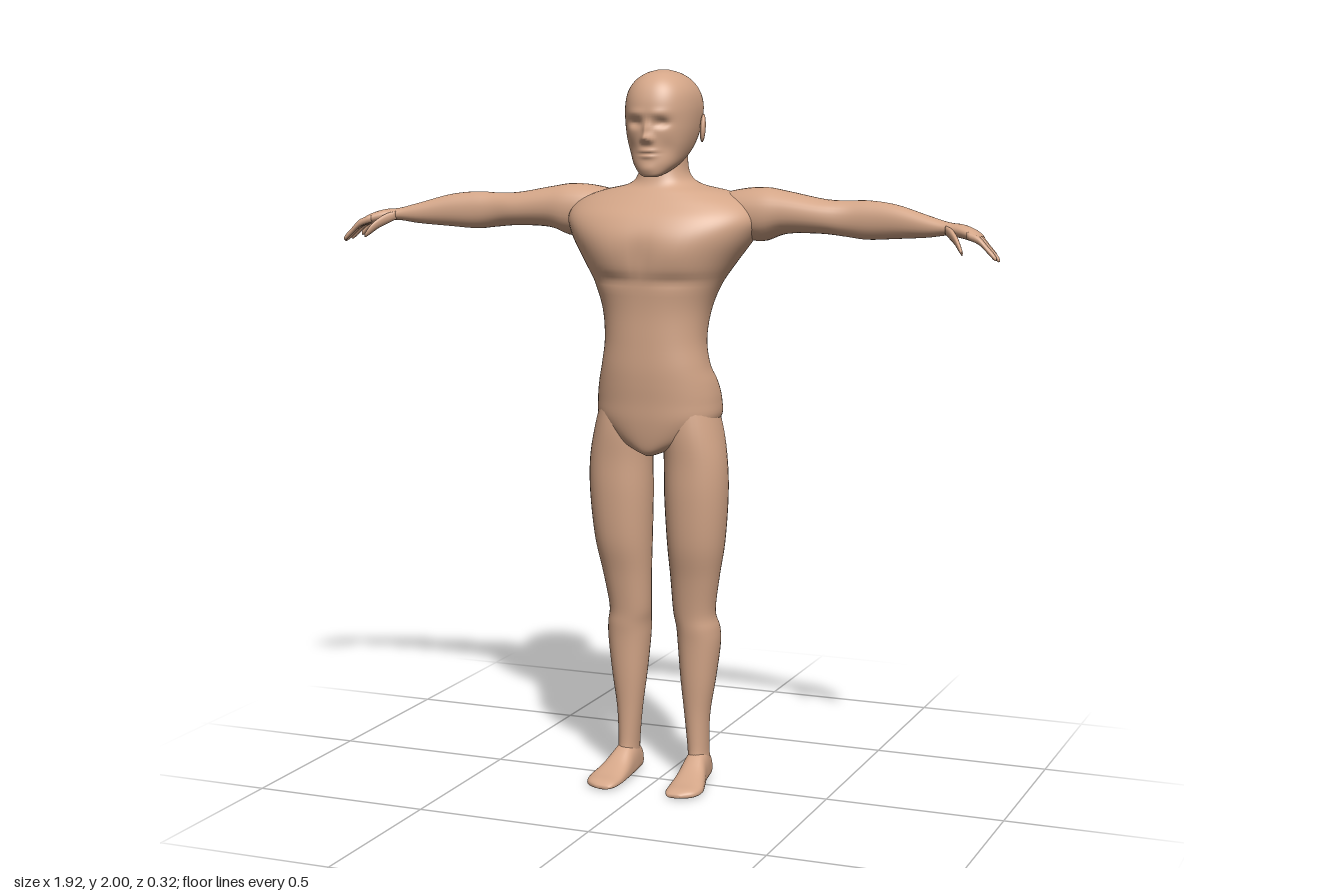
import * as THREE from 'three';

// Axis maps: (s along the loft, u, v) -> xyz
const upY = (s, u, v) => [u, s, v];
const alongX = (s, u, v) => [s, v, u];
const alongZ = (s, u, v) => [-u, v, s];

// Smooth interpolation through one column of the section rows
function spline(rows, k, t) {
  const n = rows.length - 1, i = Math.min(Math.floor(t), n - 1), f = t - i;
  const a = rows[Math.max(i - 1, 0)][k], b = rows[i][k], c = rows[i + 1][k], d = rows[Math.min(i + 2, n)][k];
  return b + 0.5 * f * (c - a + f * (2 * a - 5 * b + 4 * c - d + f * (3 * (b - c) + d - a)));
}

// Closed loft; each row is [s, uMin, uMax, vMin, vMax, vWidest]
function loft(sections, map, { sides = 32, sub = 5, power = 0.92, bumps = [] } = {}) {
  const rows = sections.map((r) => (r.length > 5 ? r : [...r, (r[3] + r[4]) / 2]));
  const rings = (rows.length - 1) * sub + 1, pos = [], index = [];
  const shape = (c) => Math.sign(c) * Math.abs(c) ** power;
  for (let i = 0; i < rings; i++) {
    const [s, u0, u1, v0, v1, vm] = [0, 1, 2, 3, 4, 5].map((k) => spline(rows, k, i / sub));
    for (let j = 0; j < sides; j++) {
      const a = (j / sides) * Math.PI * 2, c = shape(Math.cos(a)), d = shape(Math.sin(a));
      const p = map(s, (u0 + u1) / 2 + ((u1 - u0) / 2) * c, vm + (d > 0 ? v1 - vm : vm - v0) * d);
      // bumps push the front (side 1) or back (side -1) along z
      let dz = 0;
      for (const [x, y, sx, sy, amp, side = 1] of bumps) {
        const w = Math.min(Math.max((p[2] * side) / 0.05, 0), 1);
        dz += side * amp * w * Math.exp(-(((Math.abs(p[0]) - x) / sx) ** 2) - ((p[1] - y) / sy) ** 2);
      }
      pos.push(p[0], p[1], p[2] + dz);
    }
  }
  for (let i = 0; i < rings - 1; i++)
    for (let j = 0; j < sides; j++) {
      const a = i * sides + j, b = i * sides + ((j + 1) % sides), c = a + sides, d = b + sides;
      index.push(a, c, b, b, c, d);
    }
  // end caps
  for (const [r, end] of [[rows[0], 0], [rows[rows.length - 1], rings - 1]]) {
    const centre = pos.length / 3;
    pos.push(...map(r[0], (r[1] + r[2]) / 2, r[5]));
    for (let j = 0; j < sides; j++) {
      const a = end * sides + j, b = end * sides + ((j + 1) % sides);
      if (end) index.push(centre, b, a);
      else index.push(centre, a, b);
    }
  }
  const g = new THREE.BufferGeometry();
  g.setAttribute('position', new THREE.Float32BufferAttribute(pos, 3));
  g.setIndex(index);
  g.computeVertexNormals();
  return g;
}

function mirrored(geometry) {
  const g = geometry.clone().scale(-1, 1, 1), ix = g.index.array;
  for (let i = 0; i < ix.length; i += 3) [ix[i], ix[i + 1]] = [ix[i + 1], ix[i]];
  g.computeVertexNormals();
  return g;
}

export function createModel() {
  const model = new THREE.Group();
  const skin = new THREE.MeshStandardMaterial({ color: 0xd4a688 });
  skin.name = 'skin';
  const add = (name, geometry) => {
    const m = new THREE.Mesh(geometry, skin);
    m.name = name;
    model.add(m);
  };
  const addPair = (name, geometry) => {
    add(name + 'Left', geometry);
    add(name + 'Right', mirrored(geometry));
  };
  const symmetric = (rows) => rows.map(([y, w, ...z]) => [y, -w, w, ...z]);

  // Torso and neck: y, half width, back, front, widest z
  add('torso', loft(symmetric([
    [0.95, 0.015, 0.0, 0.085, 0.04], [0.965, 0.055, -0.045, 0.1, 0.03], [1.0, 0.125, -0.105, 0.11, 0.0],
    [1.05, 0.172, -0.135, 0.118, -0.01], [1.1, 0.175, -0.133, 0.122, -0.01], [1.15, 0.167, -0.117, 0.127, 0.0],
    [1.2, 0.152, -0.092, 0.13, 0.02], [1.27, 0.143, -0.082, 0.13, 0.02], [1.35, 0.152, -0.1, 0.13, 0.01],
    [1.42, 0.178, -0.122, 0.136, 0.0], [1.48, 0.215, -0.142, 0.147, -0.02], [1.55, 0.262, -0.157, 0.147, -0.045],
    [1.6, 0.28, -0.16, 0.125, -0.06], [1.64, 0.255, -0.152, 0.09, -0.07], [1.67, 0.185, -0.14, 0.062, -0.07],
    [1.69, 0.1, -0.13, 0.045, -0.055], [1.72, 0.068, -0.117, 0.035, -0.04], [1.78, 0.06, -0.108, 0.025, -0.04],
    [1.84, 0.05, -0.09, 0.01, -0.04],
  ]), upY, {
    sides: 64, power: 0.88,
    bumps: [
      [0.1, 1.51, 0.06, 0.05, 0.006], [0.09, 1.435, 0.09, 0.015, -0.006], [0, 1.5, 0.015, 0.06, -0.005],
      [0, 1.04, 0.022, 0.07, -0.035, -1], [0, 1.4, 0.025, 0.18, -0.012, -1], [0.12, 1.56, 0.05, 0.06, 0.005, -1],
    ],
  }));

  // Head with brow, eye sockets, nose, lips and chin
  add('head', loft(symmetric([
    [1.713, 0.018, 0.045, 0.075], [1.722, 0.036, 0.01, 0.08], [1.745, 0.06, -0.035, 0.083, 0.01],
    [1.775, 0.077, -0.085, 0.083, -0.02], [1.81, 0.089, -0.13, 0.084, -0.03], [1.85, 0.097, -0.15, 0.087, -0.04],
    [1.9, 0.1, -0.16, 0.09, -0.05], [1.94, 0.092, -0.15, 0.08, -0.045], [1.97, 0.072, -0.127, 0.06, -0.04],
    [1.99, 0.043, -0.095, 0.03, -0.035], [2.0, 0.012, -0.05, -0.015],
  ]), upY, {
    sides: 96, sub: 8, power: 0.87,
    bumps: [
      [0.038, 1.858, 0.02, 0.012, -0.013], [0.03, 1.885, 0.03, 0.01, 0.004], [0, 1.818, 0.013, 0.013, 0.02],
      [0, 1.842, 0.009, 0.018, 0.013], [0.012, 1.812, 0.008, 0.008, 0.005], [0, 1.783, 0.022, 0.006, 0.006],
      [0, 1.769, 0.02, 0.006, 0.005], [0, 1.776, 0.024, 0.003, -0.004], [0, 1.735, 0.022, 0.014, 0.004],
      [0.05, 1.79, 0.02, 0.025, -0.005],
    ],
  }));

  const ear = new THREE.SphereGeometry(1, 20, 14).scale(0.008, 0.039, 0.021);
  ear.rotateY(0.35).rotateX(-0.15).translate(0.104, 1.842, -0.063);
  addPair('ear', ear);

  // Arm from inside the shoulder to the knuckles: x, z range, y range
  addPair('arm', loft([
    [0.1, -0.12, -0.04, 1.59, 1.65], [0.2, -0.152, -0.005, 1.55, 1.676], [0.28, -0.146, 0.005, 1.538, 1.685],
    [0.35, -0.135, 0.0, 1.56, 1.675], [0.45, -0.12, -0.006, 1.563, 1.657], [0.52, -0.104, -0.016, 1.557, 1.654],
    [0.58, -0.098, -0.015, 1.551, 1.656], [0.66, -0.084, -0.008, 1.556, 1.647], [0.75, -0.062, 0.003, 1.563, 1.622],
    [0.81, -0.048, 0.01, 1.571, 1.606], [0.85, -0.044, 0.026, 1.566, 1.602], [0.88, -0.038, 0.038, 1.56, 1.593],
    [0.9, -0.03, 0.044, 1.558, 1.582], [0.908, -0.02, 0.036, 1.563, 1.574],
  ], alongX));

  // Fingers: root z, tip x, tip z, tip y
  [[0.034, 0.957, 0.047, 1.518], [0.014, 0.962, 0.032, 1.514], [-0.006, 0.952, 0.012, 1.52], [-0.023, 0.93, -0.01, 1.53]]
    .forEach(([z, x, tz, ty], i) => {
      const ring = (t, r, drop) => {
        const cz = z + (tz - z) * t, cy = 1.576 + (ty - 1.576) * drop;
        return [0.875 + (x - 0.875) * t, cz - r, cz + r, cy - r, cy + r];
      };
      addPair('finger' + (i + 1), loft([
        ring(0, 0.01, 0), ring(0.4, 0.0105, 0.2), ring(0.7, 0.009, 0.6), ring(0.93, 0.008, 0.92), ring(1, 0.003, 1),
      ], alongX, { sides: 14, sub: 3 }));
    });

  addPair('thumb', loft([
    [0.81, -0.005, 0.015, 1.575, 1.598], [0.83, 0.008, 0.04, 1.562, 1.592], [0.848, 0.03, 0.06, 1.55, 1.577],
    [0.863, 0.052, 0.075, 1.535, 1.557], [0.873, 0.068, 0.08, 1.526, 1.538],
  ], alongX, { sides: 16 }));

  // Leg: y, x range, z range
  addPair('leg', loft([
    [0.03, 0.085, 0.13, -0.08, -0.01], [0.06, 0.08, 0.136, -0.085, 0.008], [0.1, 0.078, 0.134, -0.08, 0.004],
    [0.2, 0.068, 0.138, -0.08, 0.008], [0.3, 0.056, 0.153, -0.094, 0.016], [0.4, 0.047, 0.165, -0.107, 0.022],
    [0.45, 0.044, 0.164, -0.105, 0.027], [0.5, 0.038, 0.156, -0.086, 0.032], [0.6, 0.034, 0.171, -0.083, 0.05],
    [0.7, 0.029, 0.189, -0.088, 0.073], [0.83, 0.024, 0.2, -0.088, 0.086], [0.93, 0.024, 0.198, -0.087, 0.09],
    [1.02, 0.022, 0.182, -0.1, 0.095], [1.12, 0.035, 0.155, -0.09, 0.09],
  ], upY));

  // Foot: z, negated x range, y range, widest y
  addPair('foot', loft([
    [-0.093, -0.118, -0.092, 0.02, 0.05, 0.03], [-0.082, -0.132, -0.08, 0.008, 0.075, 0.03],
    [-0.04, -0.14, -0.075, 0.005, 0.1, 0.03], [0.0, -0.146, -0.073, 0.005, 0.09, 0.025],
    [0.05, -0.16, -0.071, 0.005, 0.058, 0.02], [0.1, -0.171, -0.071, 0.005, 0.038, 0.016],
    [0.14, -0.16, -0.076, 0.005, 0.029, 0.015], [0.16, -0.125, -0.088, 0.008, 0.018, 0.013],
  ], alongZ, { power: 0.8 }));

  return model;
}
